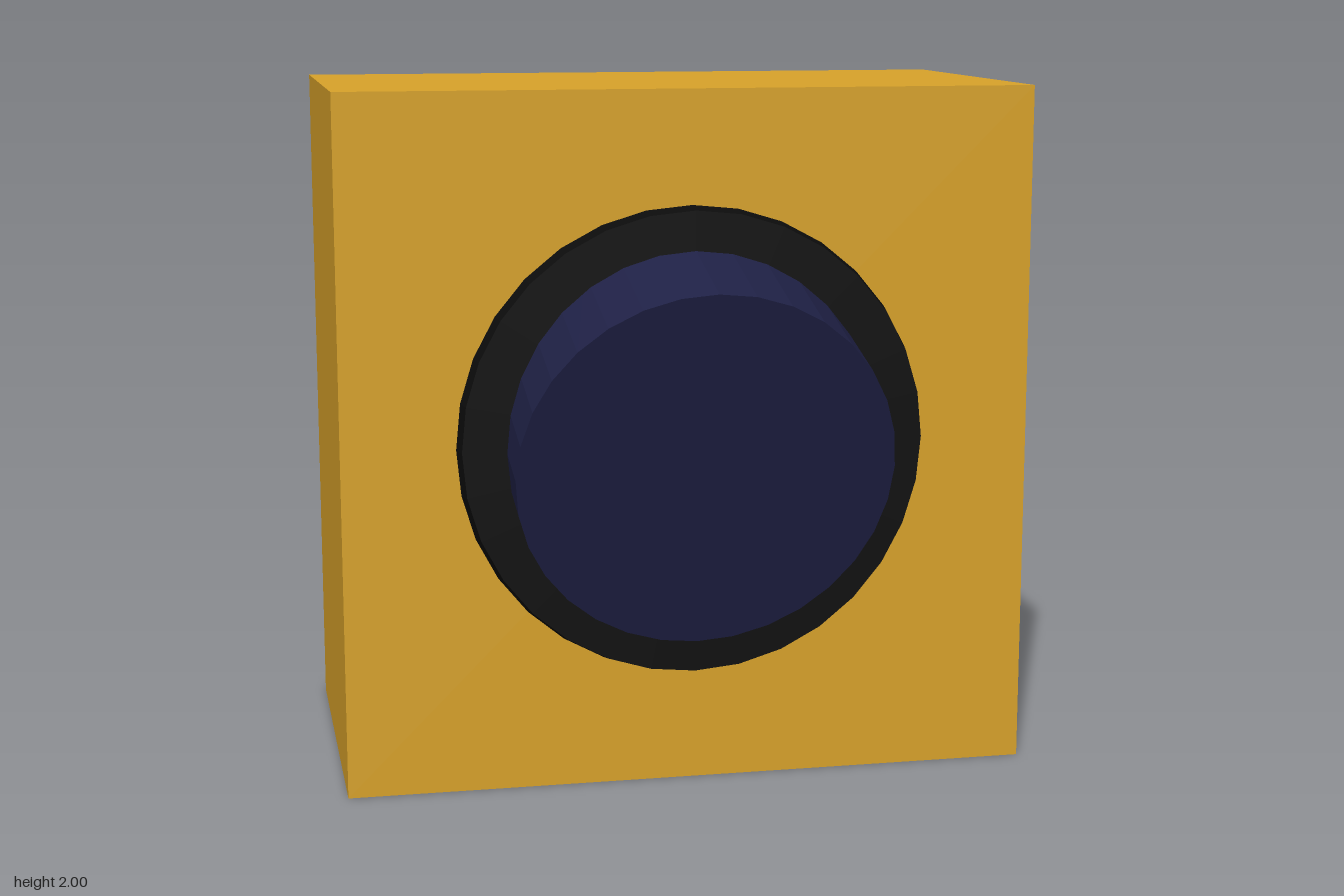
import * as THREE from 'three';

const paint = (color) => new THREE.MeshStandardMaterial({ color, flatShading: true });

export function createModel() {
  const model = new THREE.Group();
  model.name = 'rockerSwitch';

  const add = (name, geometry, color, x, y, z) => {
    const mesh = new THREE.Mesh(geometry, paint(color));
    mesh.name = name;
    mesh.position.set(x, y, z);
    model.add(mesh);
    return mesh;
  };

  // Square housing block
  add('housing', new THREE.BoxGeometry(2, 2, 1.075), 0xd9a32a, 0, 1, -0.1775);

  // Round bezel, tapering slightly towards the front
  const bezel = new THREE.CylinderGeometry(0.665, 0.68, 0.07, 32);
  bezel.rotateX(Math.PI / 2);
  add('bezel', bezel, 0x0c0c0c, 0, 1, 0.375);

  // Tilted round rocker: its front face is the pivot, its back is sunk in the housing
  const depth = 0.4;
  const rocker = new THREE.CylinderGeometry(0.538, 0.538, depth, 32);
  rocker.rotateX(Math.PI / 2);
  rocker.translate(0, 0, -depth / 2);
  const button = add('rocker', rocker, 0x1f2146, 0, 0.95, 0.576);
  button.rotation.x = THREE.MathUtils.degToRad(15);

  return model;
}
